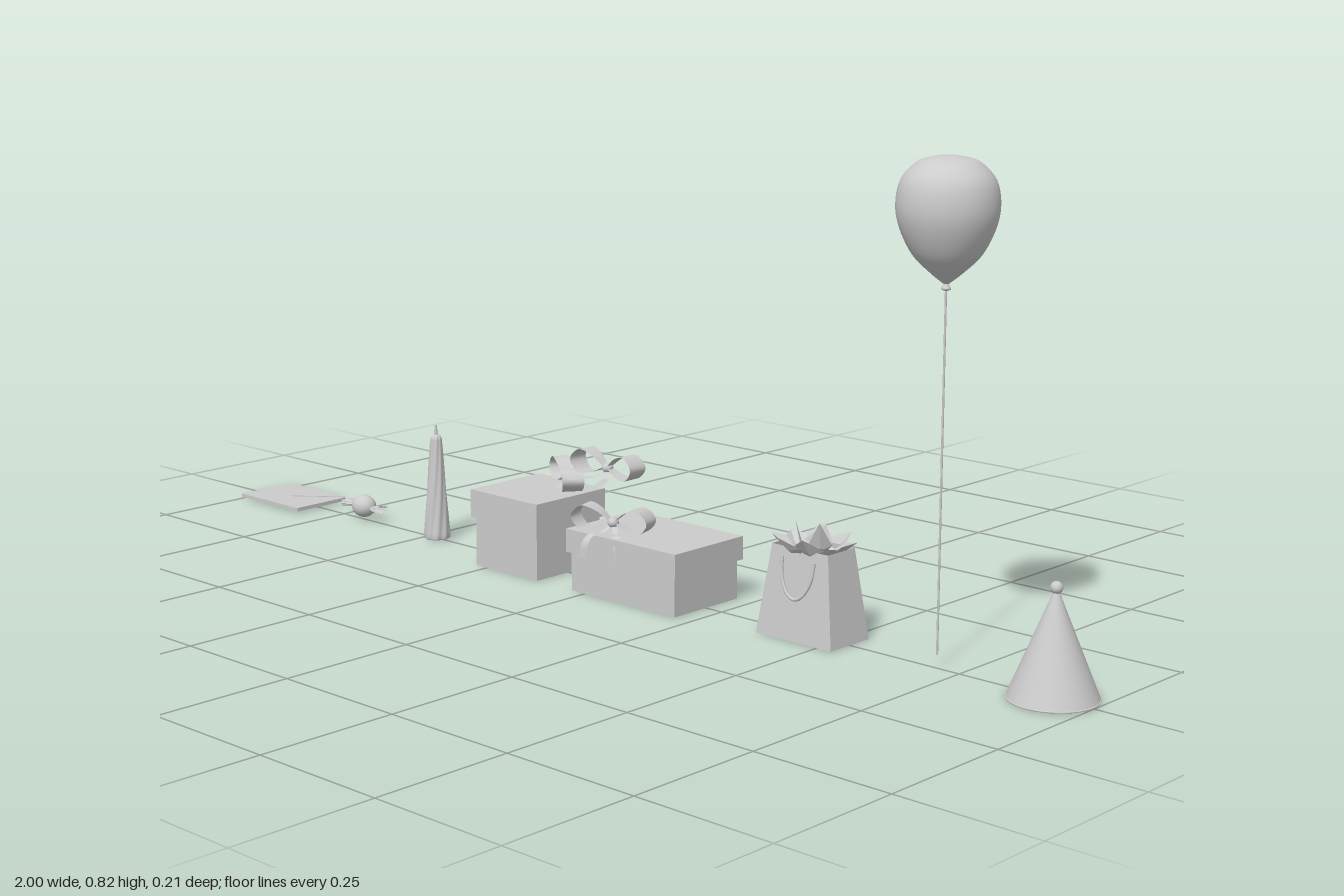
import * as THREE from 'three';

const grey = new THREE.MeshStandardMaterial({ color: 0xcccccc });
const thin = new THREE.MeshStandardMaterial({ color: 0xcccccc, side: THREE.DoubleSide });
const V = (x, y, z) => new THREE.Vector3(x, y, z);

function add(parent, name, geometry, x = 0, y = 0, z = 0, material = grey) {
  const mesh = new THREE.Mesh(geometry, material);
  mesh.name = name;
  mesh.position.set(x, y, z);
  parent.add(mesh);
  return mesh;
}

function part(parent, name, x = 0, y = 0, z = 0) {
  const g = new THREE.Group();
  g.name = name;
  g.position.set(x, y, z);
  parent.add(g);
  return g;
}

// Smooth lathe through a few [radius, height] points
function turned(points, divisions = 30, segments = 40) {
  const curve = new THREE.SplineCurve(points.map(([r, y]) => new THREE.Vector2(r, y)));
  const profile = curve.getPoints(divisions);
  profile.forEach((p) => { p.x = Math.max(p.x, 0); });
  return new THREE.LatheGeometry(profile, segments);
}

// Flat strip following a curve; width(t) is the half width along dir
function ribbon(points, dir, width, steps = 28) {
  const curve = new THREE.CatmullRomCurve3(points);
  const pos = [], idx = [];
  for (let i = 0; i <= steps; i++) {
    const p = curve.getPoint(i / steps), w = width(i / steps);
    for (const s of [-1, 1]) pos.push(p.x + dir.x * w * s, p.y + dir.y * w * s, p.z + dir.z * w * s);
    const a = 2 * i;
    if (i < steps) idx.push(a, a + 1, a + 2, a + 1, a + 3, a + 2);
  }
  const g = new THREE.BufferGeometry();
  g.setAttribute('position', new THREE.Float32BufferAttribute(pos, 3));
  g.setIndex(idx);
  g.computeVertexNormals();
  return g;
}

// Bow with two loops, a knot and two tails running toward +z
function bow(parent, name, x, y, z, turn, hanging = false) {
  const g = part(parent, name, x, y, z);
  g.rotation.y = turn;
  for (const s of [-1, 1]) {
    const loop = [[0.006, 0.022], [0.028, 0.039], [0.055, 0.046], [0.074, 0.026],
      [0.058, 0.005], [0.03, 0.007], [0.006, 0.018]].map(([px, py]) => V(s * px, py, 0));
    add(g, 'bowLoop', ribbon(loop, V(0, 0, 1), (t) => 0.007 + 0.013 * Math.sin(Math.PI * t)), 0, 0, 0, thin);
    const tail = [V(s * 0.004, 0.012, 0.004), V(s * 0.013, 0.003, 0.018), V(s * 0.024, 0.002, 0.036)];
    if (hanging) tail.push(V(s * 0.032, -0.012, 0.046), V(s * 0.036, -0.038, 0.048));
    else tail.push(V(s * 0.036, 0.001, 0.06));
    add(g, 'bowTail', ribbon(tail, V(0.95, 0, -s * 0.3), (t) => 0.004 + 0.005 * t), 0, 0, 0, thin);
  }
  const knot = add(g, 'bowKnot', new THREE.SphereGeometry(0.011, 16, 12), 0, 0.018, 0);
  knot.scale.set(0.9, 0.85, 1);
}

function giftBox(parent, name, x, width, height, lidHeight) {
  const g = part(parent, name, x);
  const bodyHeight = height - 0.006;
  add(g, 'boxBody', new THREE.BoxGeometry(width - 0.014, bodyHeight, 0.162), 0, bodyHeight / 2, 0);
  add(g, 'boxLid', new THREE.BoxGeometry(width, lidHeight, 0.176), 0, height - lidHeight / 2, 0);
}

function envelope(parent) {
  const g = part(parent, 'envelope', -0.911, 0, 0);
  add(g, 'envelopeBody', new THREE.BoxGeometry(0.178, 0.007, 0.125), 0, 0.0065, -0.002);
  const flap = new THREE.Shape([[-0.088, 0.063], [0, -0.008], [0.088, 0.063]].map(([x, y]) => new THREE.Vector2(x, y)));
  const mesh = add(g, 'envelopeFlap', new THREE.ExtrudeGeometry(flap, { depth: 0.0015, bevelEnabled: false }), 0, 0.01, -0.001);
  mesh.rotation.x = -Math.PI / 2;
}

function candy(parent) {
  const g = part(parent, 'candy', -0.689, 0.027, 0);
  add(g, 'candyCentre', new THREE.SphereGeometry(0.022, 28, 18)).scale.x = 1.2;
  // Pleated wrapper ends, flattened into fans
  for (const s of [-1, 1]) {
    const geo = new THREE.CylinderGeometry(0.018, 0.005, 0.028, 32, 3, true);
    const p = geo.attributes.position;
    for (let i = 0; i < p.count; i++) {
      const a = Math.atan2(p.getZ(i), p.getX(i)), k = 1 + 0.15 * Math.cos(8 * a);
      p.setXYZ(i, p.getX(i) * k * 0.4, p.getY(i), p.getZ(i) * k);
    }
    geo.computeVertexNormals();
    add(g, 'wrapperEnd', geo, s * 0.036, 0, 0, thin).rotation.z = -s * Math.PI / 2;
  }
}

// Tapered candle with spiral ridges
function candle(parent) {
  const g = part(parent, 'candle', -0.475, 0, 0);
  const geo = turned([[0, 0], [0.02, 0], [0.0245, 0.006], [0.023, 0.03], [0.018, 0.1],
    [0.012, 0.18], [0.01, 0.197], [0.004, 0.203], [0, 0.203]], 50, 64);
  const p = geo.attributes.position;
  for (let i = 0; i < p.count; i++) {
    const a = Math.atan2(p.getZ(i), p.getX(i)), k = 0.97 + 0.06 * Math.cos(8 * a + 40 * p.getY(i));
    p.setXYZ(i, p.getX(i) * k, Math.max(p.getY(i), 0), p.getZ(i) * k);
  }
  geo.computeVertexNormals();
  add(g, 'candleBody', geo, 0, 0, 0, thin);
  add(g, 'wick', new THREE.CylinderGeometry(0.002, 0.004, 0.02, 8), 0, 0.211, 0);
}

function giftBag(parent) {
  const g = part(parent, 'giftBag', 0.45, 0, 0);
  // Open four-sided bag, narrower at the mouth
  const bag = new THREE.BoxGeometry(0.16, 0.155, 0.1).toNonIndexed();
  const p = bag.attributes.position;
  for (let i = 0; i < p.count; i++) {
    if (p.getY(i) > 0) p.setXYZ(i, p.getX(i) * 0.74, p.getY(i), p.getZ(i) * 0.7);
  }
  const keep = [];
  for (let i = 0; i < p.count; i++) if (i < 12 || i >= 18) keep.push(i);
  bag.setIndex(keep);
  bag.computeVertexNormals();
  add(g, 'bagBody', bag, 0, 0.0775, 0, thin);
  // Rope handles hanging on the front and back
  for (const s of [-1, 1]) {
    const rope = [[-0.034, 0.138, 0.039], [-0.03, 0.105, 0.044], [-0.016, 0.08, 0.048], [0, 0.072, 0.049],
      [0.016, 0.08, 0.048], [0.03, 0.105, 0.044], [0.034, 0.138, 0.039]].map(([x, y, z]) => V(x, y, s * z));
    add(g, 'bagHandle', new THREE.TubeGeometry(new THREE.CatmullRomCurve3(rope), 40, 0.003, 8));
  }
  // Folded tissue paper points fanning out of the mouth
  for (let i = 0; i < 11; i++) {
    const inner = i > 7, a = i * (inner ? 2.1 : Math.PI / 4) + 0.35, c = Math.cos(a), d = Math.sin(a);
    const reach = inner ? 0.4 : 1, tip = (inner ? 0.193 : 0.172) + 0.007 * ((i * 3) % 4 - 1.5) / 1.5;
    const at = (r, side, y) => [c * r * 0.08 - d * side, y, d * r * 0.062 + c * side * 0.7];
    const sheet = new THREE.BufferGeometry();
    const base = at(0.2 * reach, 0, 0.125), l = at(0.65 * reach, 0.028, 0.162);
    const r = at(0.65 * reach, -0.028, 0.158), mid = at(0.7 * reach, 0, 0.15), end = at(reach, 0.01, tip);
    sheet.setAttribute('position', new THREE.Float32BufferAttribute(
      [base, l, mid, base, mid, r, l, end, mid, mid, end, r].flat(), 3));
    sheet.computeVertexNormals();
    add(g, 'tissuePaper', sheet, 0, 0, 0, thin);
  }
}

function balloon(parent) {
  const g = part(parent, 'balloon', 0.706, 0, 0);
  add(g, 'balloonBody', turned([[0.005, 0.62], [0.026, 0.637], [0.054, 0.665], [0.074, 0.705], [0.081, 0.742],
    [0.074, 0.781], [0.05, 0.808], [0.025, 0.817], [0, 0.82]], 40, 48), 0, 0, 0, thin);
  add(g, 'balloonKnot', turned([[0.003, 0.622], [0.005, 0.617], [0.008, 0.612], [0.004, 0.609], [0, 0.61]], 12, 20), 0, 0, 0, thin);
  add(g, 'balloonString', new THREE.CylinderGeometry(0.0018, 0.0018, 0.59, 8), 0, 0.317, 0);
}

function partyHat(parent) {
  const g = part(parent, 'partyHat', 0.926, 0, 0);
  add(g, 'hatCone', new THREE.CylinderGeometry(0.004, 0.073, 0.17, 48, 1, true), 0, 0.086, 0, thin);
  const rim = add(g, 'hatRim', new THREE.TorusGeometry(0.0725, 0.0015, 8, 48), 0, 0.0015, 0);
  rim.rotation.x = Math.PI / 2;
  add(g, 'hatBobble', new THREE.SphereGeometry(0.01, 20, 14), 0, 0.176, 0);
}

export function createModel() {
  const model = new THREE.Group();
  model.name = 'partySet';
  envelope(model);
  candy(model);
  candle(model);
  giftBox(model, 'tallGiftBox', -0.199, 0.172, 0.143, 0.052);
  giftBox(model, 'wideGiftBox', 0.091, 0.26, 0.113, 0.042);
  bow(model, 'tallBoxBow', -0.172, 0.143, -0.048, -0.62);
  bow(model, 'wideBoxBow', 0.04, 0.113, 0.05, 0.3, true);
  bow(model, 'looseBow', -0.022, 0.193, 0, 0);
  giftBag(model);
  balloon(model);
  partyHat(model);
  return model;
}
